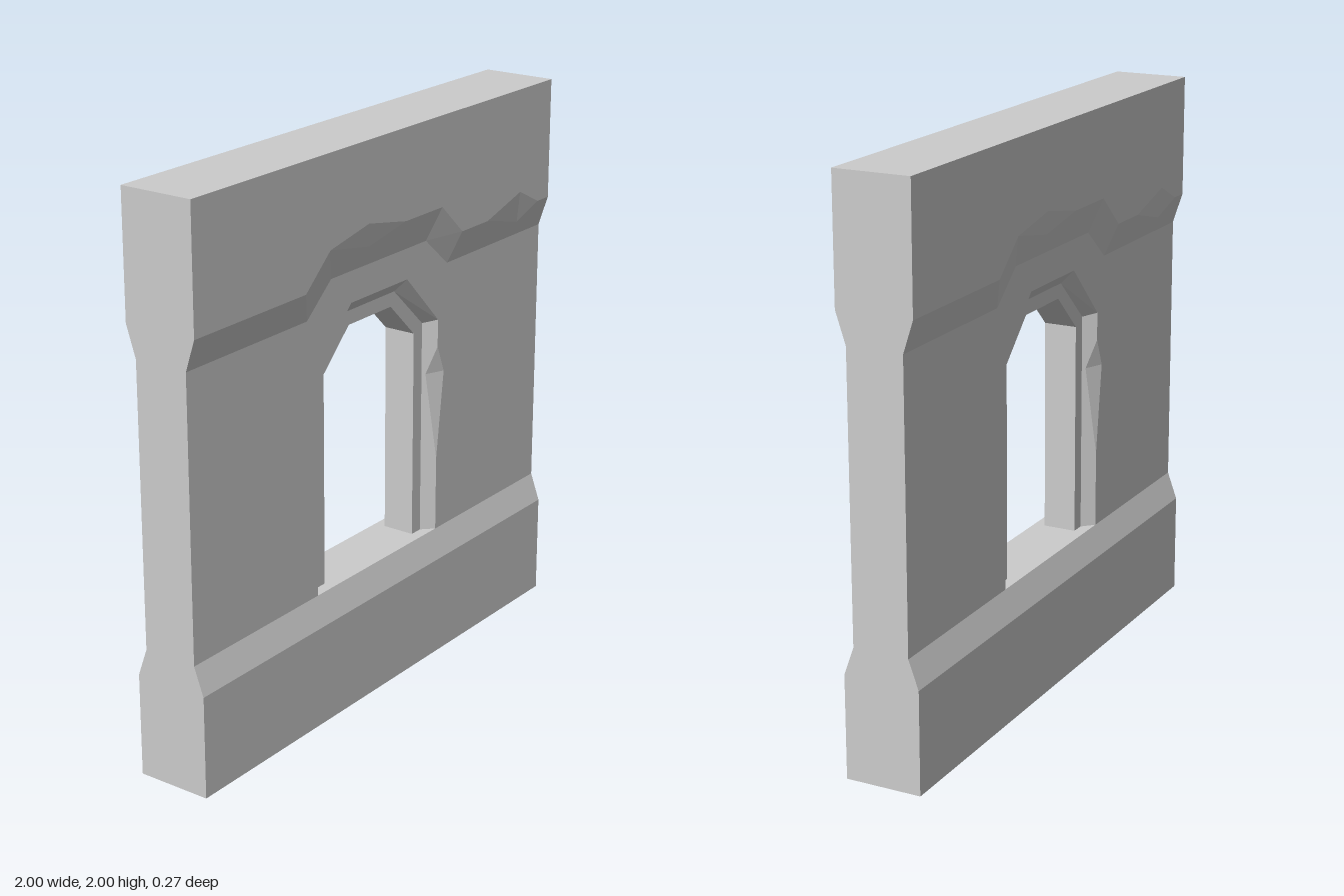
import * as THREE from 'three';

const OUT = 0.136, MID = 0.1, REVEAL = 0.06; // depths of bands, wall field and window reveal
const SILL = 0.465;

const material = new THREE.MeshStandardMaterial({ color: 0xcccccc, flatShading: true });

// Triangles of a front-facing polygon with [x, y, z] corners
function face(points) {
  let flat = points.map(([x, y]) => new THREE.Vector2(x, y));
  if (THREE.ShapeUtils.isClockWise(flat)) {
    points = [...points].reverse();
    flat = flat.reverse();
  }
  return THREE.ShapeUtils.triangulateShape(flat, []).flat().flatMap((i) => points[i]);
}

// Quads between two polylines of equal length
function strip(a, b) {
  const out = [];
  for (let i = 0; i < a.length - 1; i++) {
    out.push(...a[i], ...a[i + 1], ...b[i + 1], ...a[i], ...b[i + 1], ...b[i]);
  }
  return out;
}

const at = (z, points) => points.map(([x, y]) => [x, y, z]);

// Outline of an opening with cut upper corners, from lower left to lower right
const arch = (w, spring, t, top) =>
  [[-w, SILL], [-w, spring], [-t, top], [t, top], [w, spring], [w, SILL]];

function createHalf() {
  const half = new THREE.Group();
  const add = (name, ...parts) => {
    const geometry = new THREE.BufferGeometry();
    geometry.setAttribute('position', new THREE.Float32BufferAttribute(parts.flat(), 3));
    geometry.computeVertexNormals();
    const mesh = new THREE.Mesh(geometry, material);
    mesh.name = name;
    half.add(mesh);
  };

  // Chips: two ends on the edge, one corner on each neighbouring face
  const plinthChip = [[-0.65, 0.365, OUT], [-0.34, 0.335, OUT], [-0.03, 0.365, OUT], [-0.31, 0.405, 0.1216]];
  const corniceChip = [[-0.32, 1.68, OUT], [-0.11, 1.72, OUT], [0.1, 1.68, OUT], [-0.09, 1.635, 0.122]];
  const sideChip = [[0.6, 1.565, OUT], [0.81, 1.625, OUT], [0.93, 1.565, OUT], [0.82, 1.51, 0.118]];
  const jambChip = [[0.35, 1.16, MID], [0.39, 1.06, MID], [0.35, 0.74, MID], [0.32, 1.06, 0.07]];

  // Plinth face and its sloped top
  add('plinth',
    face([[-1, 0, OUT], [1, 0, OUT], [1, 0.365, OUT], plinthChip[2], plinthChip[1], plinthChip[0], [-1, 0.365, OUT]]),
    face([[-1, 0.365, OUT], plinthChip[0], plinthChip[3], plinthChip[2], [1, 0.365, OUT], [1, SILL, MID], [-1, SILL, MID]]));

  // Stepped underside of the upper band
  const low = at(MID, [[-1, 1.455], [-0.4, 1.455], [-0.27, 1.565], [0.27, 1.565], [0.4, 1.455], [1, 1.455]]);
  const high = at(OUT, [[-1, 1.565], [-0.45, 1.565], [-0.32, 1.68], [0.315, 1.68], [0.44, 1.565], [1, 1.565]]);
  add('upperBand',
    strip(low.slice(0, 3), high.slice(0, 3)),
    face([low[2], low[3], high[3], corniceChip[2], corniceChip[3], corniceChip[0]]),
    strip(low.slice(3, 5), high.slice(3, 5)),
    face([low[4], low[5], high[5], sideChip[2], sideChip[3], sideChip[0], high[4]]),
    face([high[0], high[1], ...corniceChip.slice(0, 3), high[3], high[4], ...sideChip.slice(0, 3),
      high[5], [1, 2, OUT], [-1, 2, OUT]]));

  // Recessed wall field around the window
  const outer = at(MID, arch(0.35, 1.26, 0.16, 1.455));
  const inner = at(REVEAL, arch(0.31, 1.25, 0.14, 1.41));
  const hole = at(REVEAL, arch(0.26, 1.225, 0.12, 1.36));
  add('wallField', face([
    [-1, SILL, MID], ...outer.slice(0, 5), ...jambChip.slice(0, 3), outer[5], [1, SILL, MID],
    ...[...low].reverse(),
  ]));

  // Bevelled surround, flat frame and the reveal through the wall
  add('windowBevel',
    strip(inner.slice(0, 5), outer.slice(0, 5)),
    face([outer[4], jambChip[0], jambChip[3], jambChip[2], outer[5], inner[5], inner[4]]));
  add('windowFrame', face([...inner, ...[...hole].reverse()]));
  add('windowReveal', strip(at(0, hole), hole));

  const sillLine = (s) => [[0.35, MID], [0.31, REVEAL], [0.26, REVEAL], [0.26, 0]].map(([x, z]) => [s * x, SILL, z]);
  add('windowSill', strip(sillLine(1), sillLine(-1)));

  add('chippedEdges', ...[plinthChip, corniceChip, sideChip, jambChip].map(face));

  // Ends, top and underside
  const profile = [[0, OUT], [0.365, OUT], [SILL, MID], [1.455, MID], [1.565, OUT], [2, OUT]];
  const end = (x, k) => profile.map(([y, z]) => [x, y, z * k]);
  const edge = (y, z) => [[-1, y, z], [1, y, z]];
  add('wallEnds', strip(end(1, 0), end(1, 1)), strip(end(-1, 1), end(-1, 0)));
  add('wallTop', strip(edge(2, OUT), edge(2, 0)));
  add('wallUnderside', strip(edge(0, 0), edge(0, OUT)));
  return half;
}

export function createModel() {
  const model = new THREE.Group();
  model.name = 'windowWall';
  // Both sides are the same, turned half a circle
  ['frontHalf', 'backHalf'].forEach((name, i) => {
    const half = createHalf();
    half.name = name;
    half.rotation.y = i * Math.PI;
    model.add(half);
  });
  return model;
}
